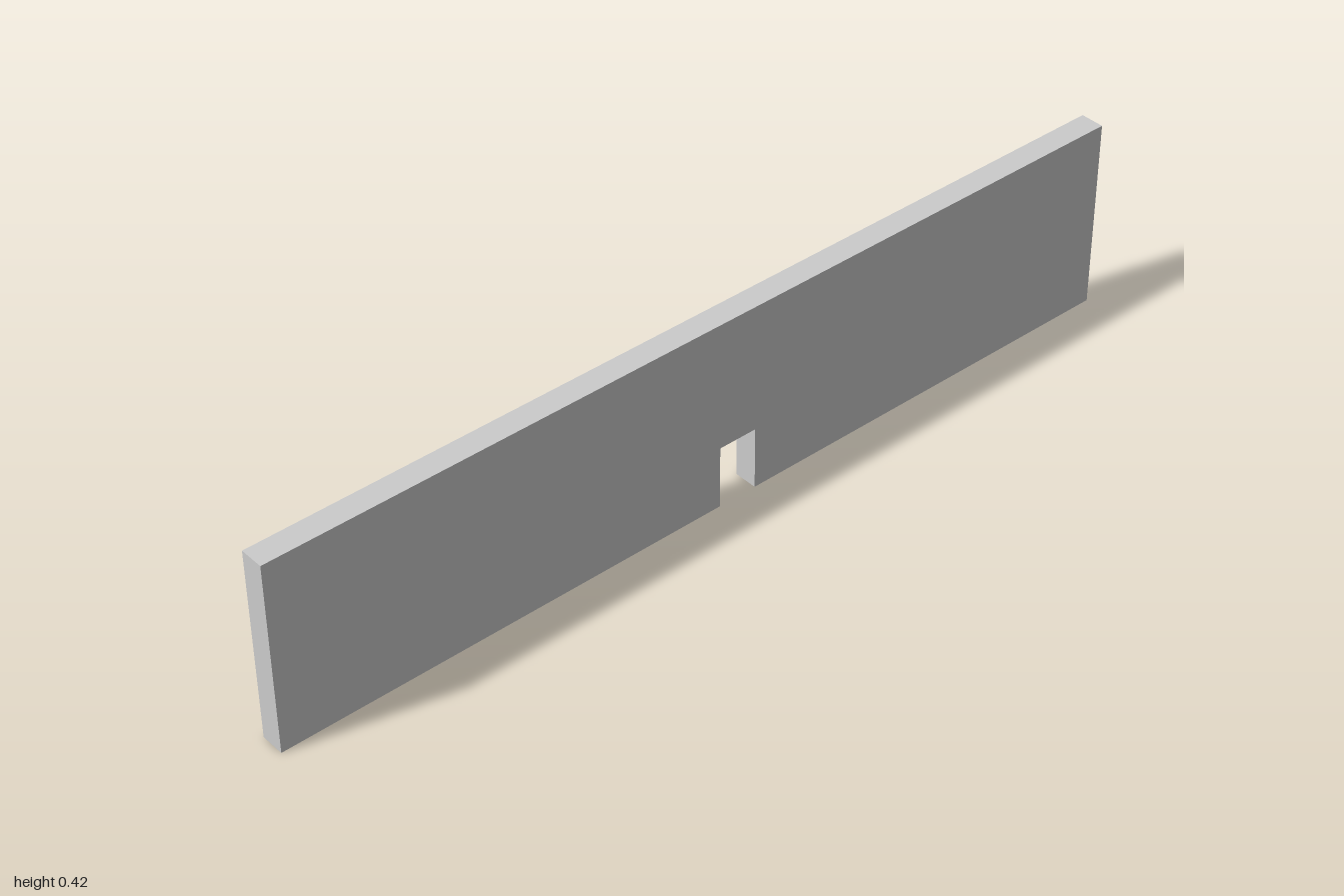
import * as THREE from 'three';

const LENGTH = 2, HEIGHT = 0.42, THICKNESS = 0.052;
const NOTCH = { start: 0.003, end: 0.09, top: 0.138 };

export function createModel() {
  const group = new THREE.Group();
  group.name = 'notchedBoard';

  // Side profile of the board, with the slot cut up from its lower edge
  const profile = new THREE.Shape([
    [-LENGTH / 2, 0], [NOTCH.start, 0], [NOTCH.start, NOTCH.top],
    [NOTCH.end, NOTCH.top], [NOTCH.end, 0], [LENGTH / 2, 0],
    [LENGTH / 2, HEIGHT], [-LENGTH / 2, HEIGHT],
  ].map(([x, y]) => new THREE.Vector2(x, y)));

  // Extrude the thickness, then turn the length to run from front (+z) to back
  const geometry = new THREE.ExtrudeGeometry(profile, { depth: THICKNESS, bevelEnabled: false });
  geometry.translate(0, 0, -THICKNESS / 2);
  geometry.rotateY(Math.PI / 2);

  const board = new THREE.Mesh(geometry, new THREE.MeshStandardMaterial({ color: 0xcccccc }));
  board.name = 'board';
  group.add(board);
  return group;
}
